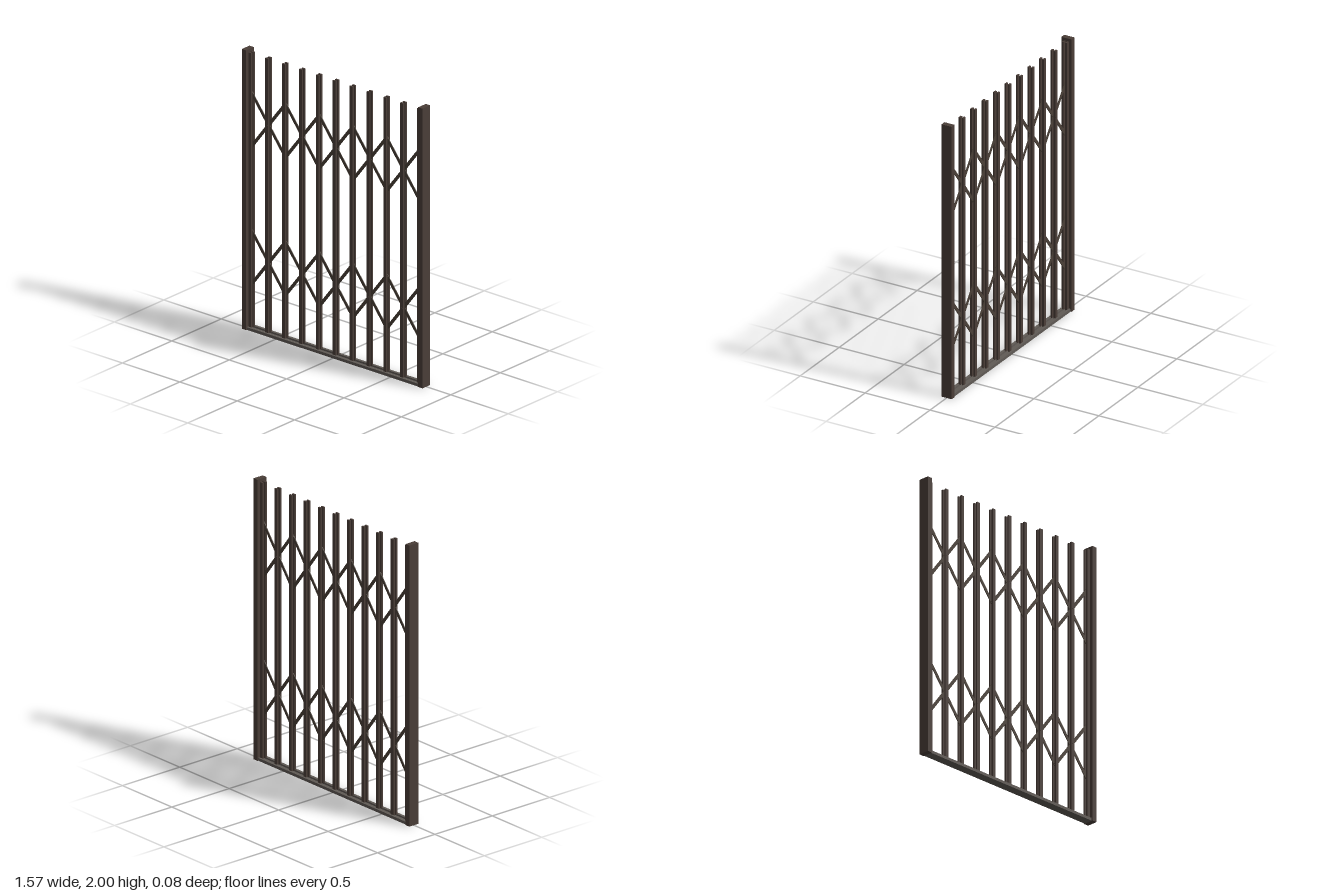
import * as THREE from 'three';

export function createModel() {
  const gate = new THREE.Group();
  gate.name = 'foldingGate';
  const mat = (name, color) => {
    const m = new THREE.MeshStandardMaterial({ color });
    m.name = name;
    return m;
  };
  const brown = mat('darkBrown', 0x4a3e38);
  const latticeBrown = mat('latticeBrown', 0x4a4037);
  const grey = mat('trackGrey', 0x605a55);

  const box = (name, material, w, h, d, x, y, z, parent = gate) => {
    const mesh = new THREE.Mesh(new THREE.BoxGeometry(w, h, d), material);
    mesh.name = name;
    mesh.position.set(x, y, z);
    parent.add(mesh);
    return mesh;
  };

  // End posts
  for (const s of [-1, 1]) {
    box(s > 0 ? 'leftPost' : 'rightPost', brown, 0.038, 2, 0.078, s * 0.768, 1, 0);
  }

  // Floor track: a thin base with a raised rail on each side of the groove
  box('trackBase', grey, 1.5, 0.008, 0.066, 0, 0.004, 0);
  for (const s of [-1, 1]) {
    box('trackRail', grey, 1.5, 0.012, 0.02, 0, 0.014, s * 0.023);
  }

  // Upright pickets: paired bars with a gap for the lattice
  const step = 0.147;
  for (let i = -5; i <= 5; i++) {
    const picket = new THREE.Group();
    picket.name = 'picket';
    picket.position.x = i * step;
    for (const s of [-1, 1]) {
      box('picketBar', brown, 0.026, 1.965, 0.013, 0, 0.9975, s * 0.0125, picket);
    }
    gate.add(picket);
  }

  // Two rows of crossing lattice bars, one layer for each direction
  const rise = 0.19;
  const length = 2 * Math.hypot(step, rise) + 0.012;
  const angle = Math.atan2(rise, step);
  for (const y of [0.51, 1.495]) {
    const row = new THREE.Group();
    row.name = y < 1 ? 'lowerLattice' : 'upperLattice';
    for (let i = -4; i <= 4; i += 2) {
      for (const s of [-1, 1]) {
        const bar = box('latticeBar', latticeBrown, length, 0.022, 0.005, i * step, y, s * 0.003, row);
        bar.rotation.z = s * angle;
      }
      // Pivot pin through each crossing
      const pin = new THREE.Mesh(new THREE.CylinderGeometry(0.008, 0.008, 0.04, 12), brown);
      pin.name = 'pivotPin';
      pin.rotation.x = Math.PI / 2;
      pin.position.set(i * step, y, 0);
      row.add(pin);
    }
    gate.add(row);
  }
  return gate;
}
